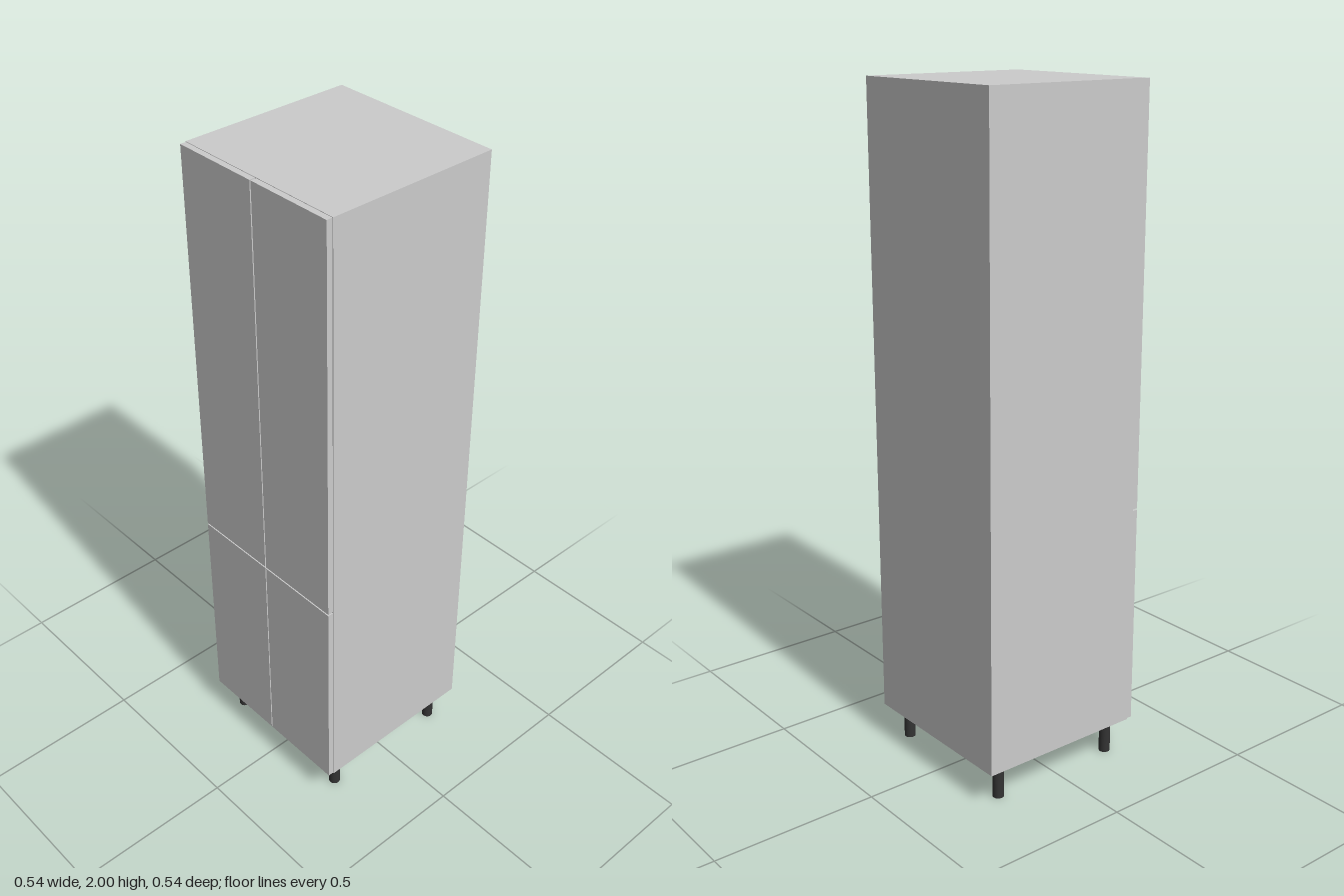
import * as THREE from 'three';

export function createModel() {
  const model = new THREE.Group();
  const grey = new THREE.MeshStandardMaterial({ color: 0xcccccc });
  const dark = new THREE.MeshStandardMaterial({ color: 0x333333 });

  // Box given by its lower and upper corners
  function box(name, [x0, y0, z0], [x1, y1, z1]) {
    const mesh = new THREE.Mesh(new THREE.BoxGeometry(x1 - x0, y1 - y0, z1 - z0), grey);
    mesh.position.set((x0 + x1) / 2, (y0 + y1) / 2, (z0 + z1) / 2);
    mesh.name = name;
    model.add(mesh);
  }

  const W = 0.27, inner = 0.256, board = 0.014;
  const bottom = 0.108, top = 2, back = -0.27, front = 0.252;

  // Carcass
  box('leftSide', [inner, bottom, back], [W, top, front]);
  box('rightSide', [-W, bottom, back], [-inner, top, front]);
  box('topPanel', [-inner, top - board, back], [inner, top, front]);
  box('bottomPanel', [-inner, bottom, back], [inner, bottom + board, front]);
  box('backPanel', [-inner, bottom + board, back], [inner, top - board, back + 0.004]);

  // Fixed divider and loose shelves
  box('divider', [-inner, 0.778, back + 0.004], [inner, 0.792, front]);
  for (const y of [0.445, 1.09, 1.39, 1.695]) {
    box('shelf', [-inner, y - board / 2, back + 0.004], [inner, y + board / 2, front - 0.018]);
  }

  // Two pairs of doors with narrow gaps
  for (const [name, y0, y1] of [['lowerDoor', bottom + 0.002, 0.782], ['upperDoor', 0.787, top - 0.001]]) {
    box(name + 'Left', [0.002, y0, front + 0.0005], [0.268, y1, 0.27]);
    box(name + 'Right', [-0.268, y0, front + 0.0005], [-0.002, y1, 0.27]);
  }

  // Round feet
  const legGeometry = new THREE.CylinderGeometry(0.017, 0.017, bottom, 24);
  for (const x of [-0.222, 0.222]) {
    for (const z of [-0.209, 0.205]) {
      const leg = new THREE.Mesh(legGeometry, dark);
      leg.name = z > 0 ? 'frontLeg' : 'backLeg';
      leg.position.set(x, bottom / 2, z);
      model.add(leg);
    }
  }
  return model;
}
